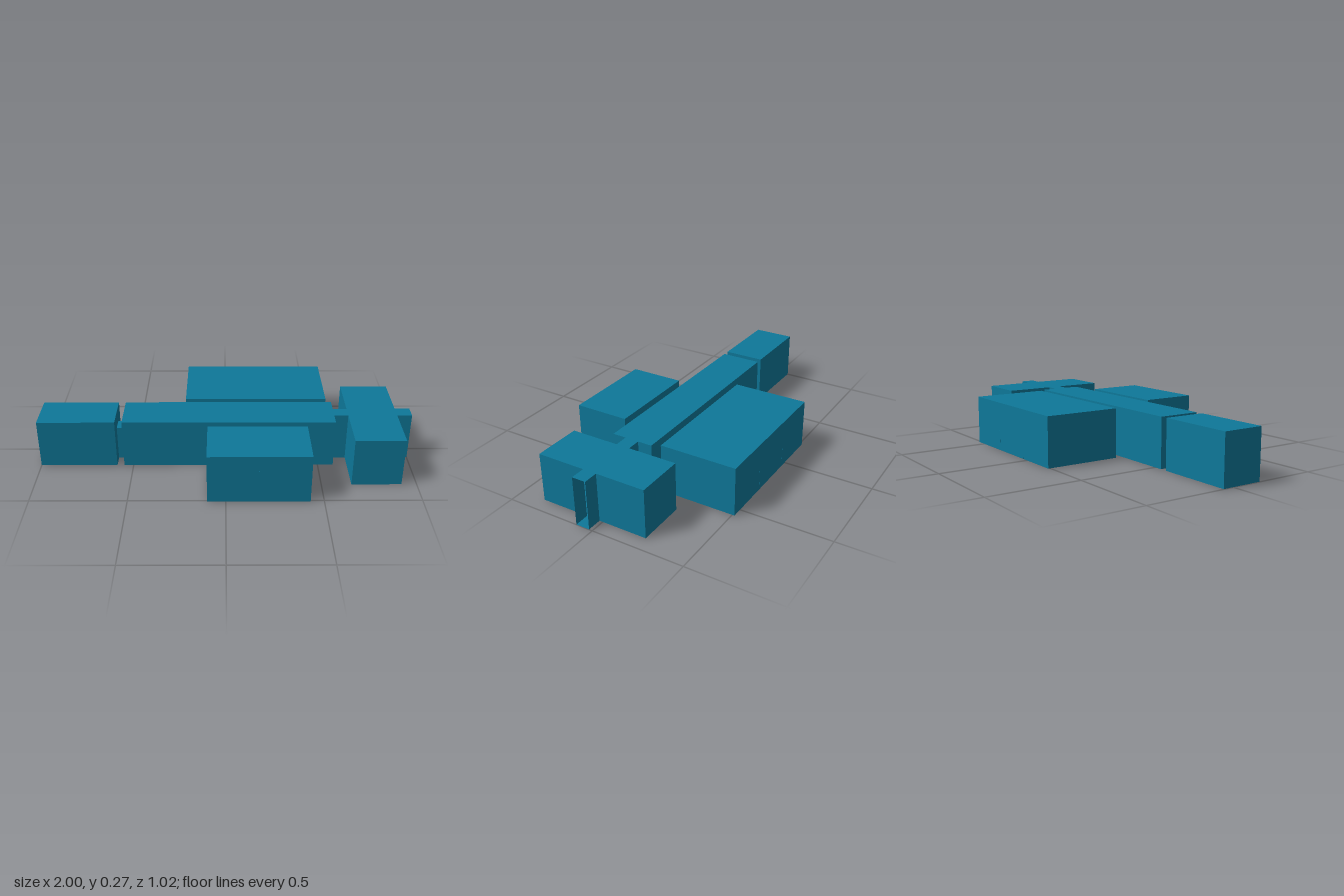
import * as THREE from 'three';
import { mergeGeometries } from 'three/addons/utils/BufferGeometryUtils.js';

const H = 0.265, DOOR = 0.19;
const blue = new THREE.MeshStandardMaterial({ color: 0x0e7899, side: THREE.DoubleSide });
const grey = new THREE.MeshStandardMaterial({ color: 0xcccccc });

// Upright panel on a side of a room: 'n'/'s' run along x, 'e'/'w' along z
function panel(side, at, from, to, y0, y1) {
  const g = new THREE.PlaneGeometry(to - from, y1 - y0);
  g.rotateY({ s: 0, n: Math.PI, e: Math.PI / 2, w: -Math.PI / 2 }[side]);
  const mid = (from + to) / 2, y = (y0 + y1) / 2;
  return side === 'n' || side === 's' ? g.translate(mid, y, at) : g.translate(at, y, mid);
}

// Wall split around its doorways; each door is [from, to, height]
function wall(side, at, from, to, h, doors = []) {
  const parts = [];
  let start = from;
  for (const [a, b, top] of doors) {
    if (a > start) parts.push(panel(side, at, start, a, 0, h));
    if (top < h) parts.push(panel(side, at, a, b, top, h));
    start = b;
  }
  if (to > start) parts.push(panel(side, at, start, to, 0, h));
  return parts;
}

// Hollow thin-walled block with floor, ceiling and doorways
function space(name, [x0, x1, z0, z1], h, doors) {
  const slab = (y, turn) => new THREE.PlaneGeometry(x1 - x0, z1 - z0)
    .rotateX(turn).translate((x0 + x1) / 2, y, (z0 + z1) / 2);
  const mesh = new THREE.Mesh(mergeGeometries([
    slab(0, Math.PI / 2), slab(h, -Math.PI / 2),
    ...wall('s', z1, x0, x1, h, doors.s), ...wall('n', z0, x0, x1, h, doors.n),
    ...wall('e', x1, z0, z1, h, doors.e), ...wall('w', x0, z0, z1, h, doors.w),
  ]), blue);
  mesh.name = name;
  return mesh;
}

function box(name, w, h, d, x, y, z, material = grey) {
  const mesh = new THREE.Mesh(new THREE.BoxGeometry(w, h, d), material);
  mesh.position.set(x, y, z);
  mesh.name = name;
  return mesh;
}

// Guitar standing upright and facing +x
function guitar() {
  const g = new THREE.Group();
  g.name = 'guitar';
  const right = [[0, 0], [0.012, 0.001], [0.017, 0.01], [0.015, 0.02], [0.011, 0.026],
    [0.013, 0.034], [0.01, 0.042], [0, 0.044]];
  const left = right.slice(1, -1).reverse().map(([x, y]) => [-x, y]);
  const outline = new THREE.Shape([...right, ...left].map(p => new THREE.Vector2(...p)));
  const body = new THREE.Mesh(
    new THREE.ExtrudeGeometry(outline, { depth: 0.008, bevelEnabled: false }), grey);
  body.name = 'guitarBody';
  body.position.y = 0.007;
  g.add(body,
    box('guitarNeck', 0.004, 0.036, 0.004, 0, 0.066, 0.006),
    box('guitarHead', 0.006, 0.01, 0.004, 0, 0.086, 0.006),
    box('guitarStand', 0.02, 0.004, 0.036, 0, 0.001, 0.004));
  g.rotation.y = Math.PI / 2;
  g.position.set(-0.635, 0, 0.077);
  return g;
}

export function createModel() {
  const model = new THREE.Group();
  model.name = 'floorPlan';
  const north = [[-0.135, -0.06, DOOR], [0.13, 0.2, DOOR], [0.395, 0.468, DOOR]];
  const south = [[0, 0.07, DOOR], [0.265, 0.335, DOOR]];
  const low = [[0.018, 0.093, DOOR]], tall = [[0.018, 0.093, H]];

  // Rooms
  model.add(
    space('mainHall', [-0.55, 0.583, -0.06, 0.167], H, { n: north, s: south, e: tall, w: low }),
    space('endRoom', [-1, -0.588, -0.06, 0.167], H, { e: low }),
    space('backRoom', [-0.22, 0.557, -0.513, -0.098], H, { s: north }),
    space('frontRoom', [-0.095, 0.43, 0.208, 0.509], H, { n: south }),
    space('crossRoom', [0.658, 0.92, -0.247, 0.357], H, { e: tall, w: tall }));

  // Passages between the rooms, open at both ends
  model.add(
    space('endPassage', [-0.588, -0.55, 0.018, 0.093], DOOR, { e: low, w: low }),
    space('crossPassage', [0.583, 0.658, 0.018, 0.093], H, { e: tall, w: tall }),
    space('entrance', [0.92, 1, 0.018, 0.093], H, { e: tall, w: tall }));
  for (const d of north)
    model.add(space('backPassage', [d[0], d[1], -0.098, -0.06], DOOR, { n: [d], s: [d] }));
  for (const d of south)
    model.add(space('frontPassage', [d[0], d[1], 0.167, 0.208], DOOR, { n: [d], s: [d] }));

  // Partitions whose edges just show in the outer walls
  for (const x of [0.039, 0.298])
    model.add(box('backPartition', 0.004, 0.11, 0.414, x, 0.056, -0.3065, blue));
  model.add(box('frontPartition', 0.004, 0.18, 0.3, 0.167, 0.09, 0.3595, blue));

  // Furnishings of the end room
  model.add(guitar(),
    box('wallScreen', 0.01, 0.064, 0.1, -0.985, 0.102, 0.012),
    box('cabinet', 0.05, 0.056, 0.1, -0.96, 0.03, 0.01),
    box('speaker', 0.04, 0.05, 0.04, -0.9, 0.027, 0.028));
  return model;
}
